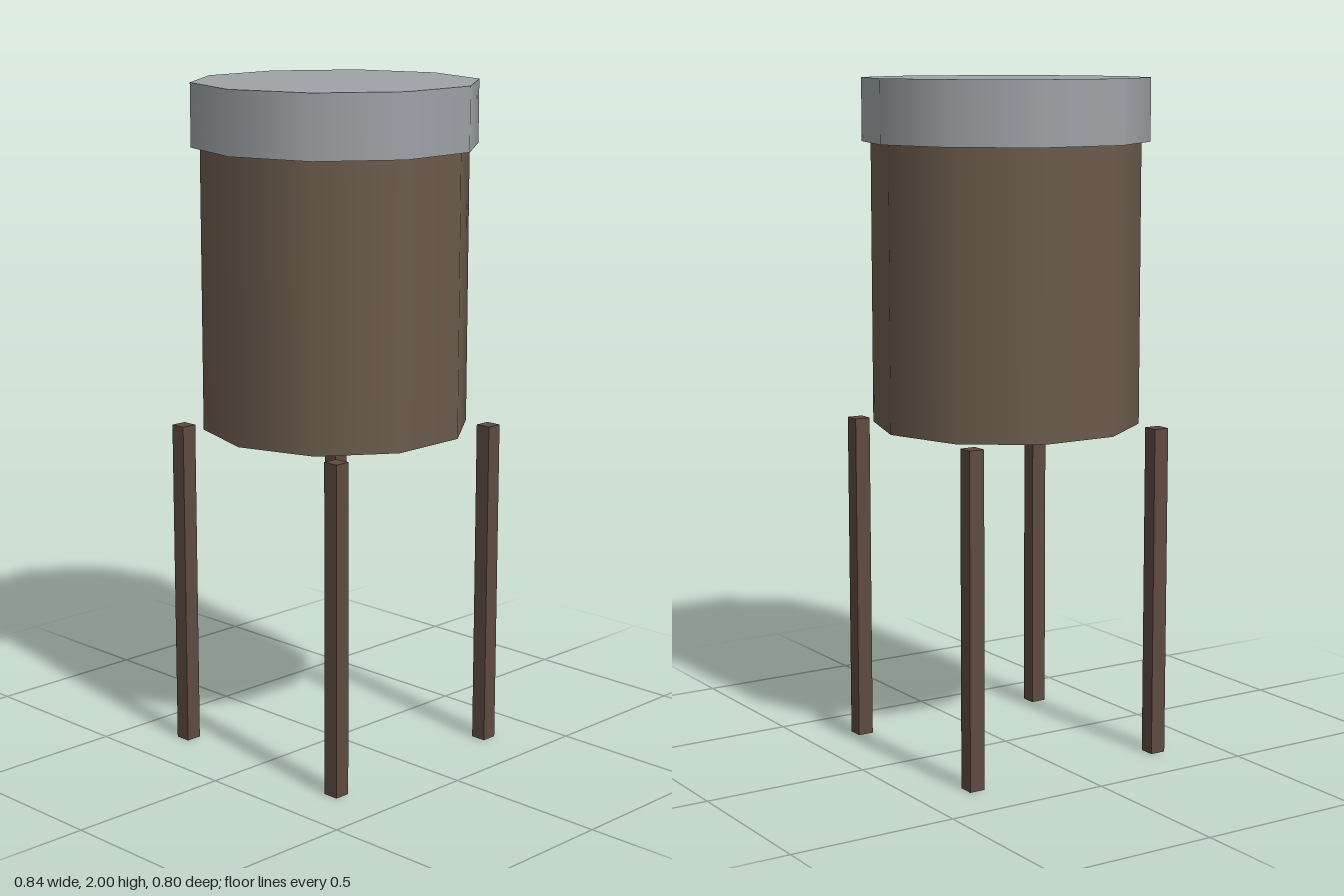
import * as THREE from 'three';

const SIDES = 10;

export function createModel() {
  const model = new THREE.Group();
  const metal = new THREE.MeshStandardMaterial({ color: 0x9fa3a7 });
  const wood = new THREE.MeshStandardMaterial({ color: 0x6b5b4d });
  const legWood = new THREE.MeshStandardMaterial({ color: 0x5d4a40 });

  const add = (name, geometry, material, x, y, z) => {
    const mesh = new THREE.Mesh(geometry, material);
    mesh.name = name;
    mesh.position.set(x, y, z);
    model.add(mesh);
  };

  // Ten-sided drum standing between two heights, with corners on the x axis
  const drum = (name, radius, bottom, top, material) => {
    const geometry = new THREE.CylinderGeometry(
      radius, radius, top - bottom, SIDES, 1, false, Math.PI / 2);
    add(name, geometry, material, 0, (top + bottom) / 2, 0);
  };
  drum('tank', 0.395, 0.985, 1.815, wood);
  drum('lid', 0.421, 1.815, 2, metal);

  // Four square posts, one at each corner
  const legHeight = 0.985;
  const legGeometry = new THREE.BoxGeometry(0.048, legHeight, 0.048);
  for (const [zName, z] of [['front', 0.32], ['back', -0.32]]) {
    for (const [xName, x] of [['Left', 0.32], ['Right', -0.32]]) {
      add(`${zName}${xName}Leg`, legGeometry, legWood, x, legHeight / 2, z);
    }
  }
  return model;
}
